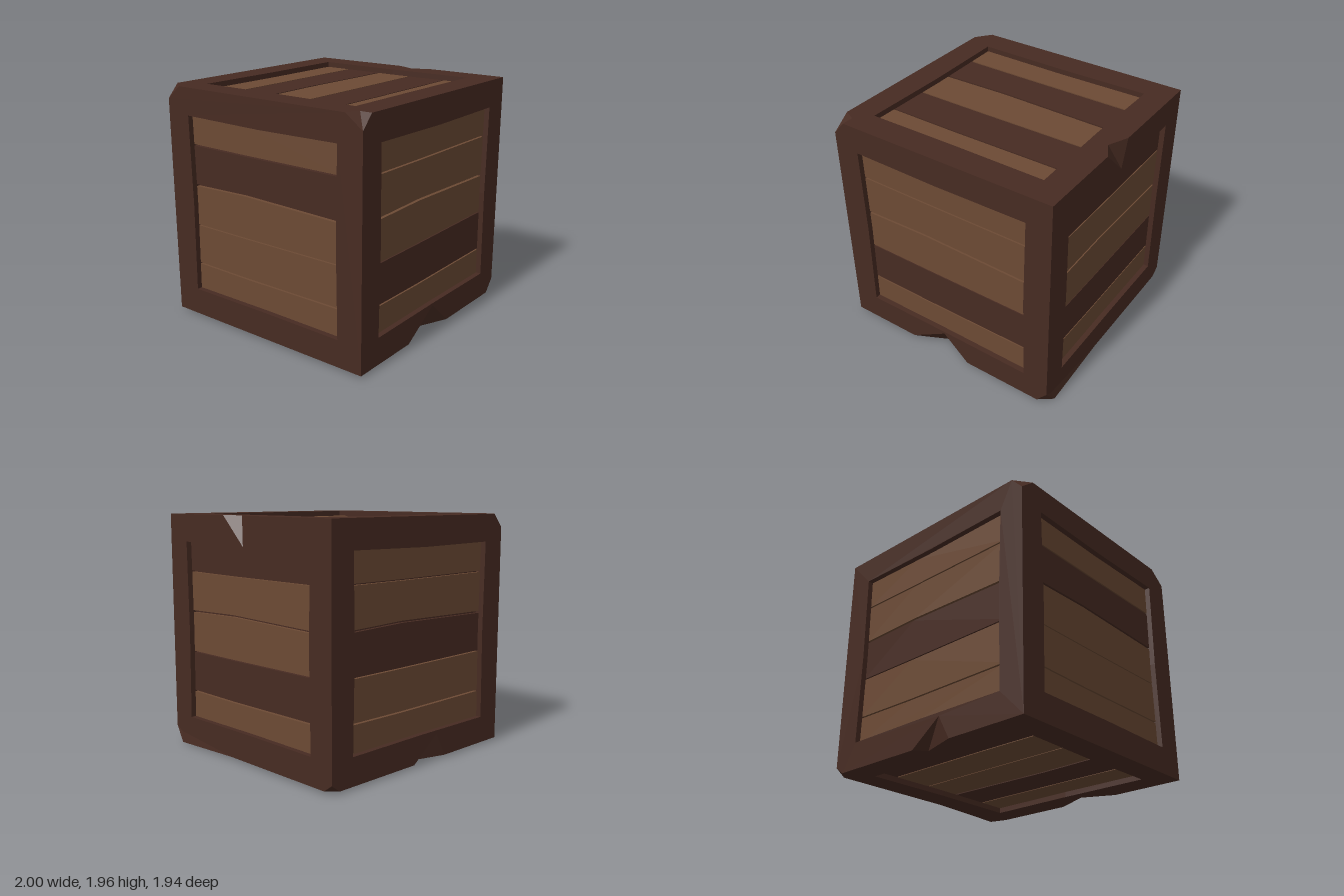
import * as THREE from 'three';

const HALF = new THREE.Vector3(0.99, 0.97, 0.97);
const DEPTH = 0.045, FLOOR = 0.075;

// Face axes (u right, v up) and plank tones from top to bottom: L light, D dark
const FACES = [
  { name: 'front', u: [1, 0, 0], v: [0, 1, 0], planks: 'LLLDL' },
  { name: 'right', u: [0, 0, -1], v: [0, 1, 0], planks: 'DLLDL' },
  { name: 'back', u: [-1, 0, 0], v: [0, 1, 0], planks: 'LLDLL' },
  { name: 'left', u: [0, 0, 1], v: [0, 1, 0], planks: 'LDLLL' },
  { name: 'top', u: [1, 0, 0], v: [0, 0, -1], planks: 'LDLDL' },
  { name: 'bottom', u: [1, 0, 0], v: [0, 0, 1], planks: 'LDLLD' },
];

// Chips: each is a fan of triangles around its first point (crate centre at the origin)
const X = HALF.x, Y = HALF.y, Z = HALF.z;
const CHIPS = [
  // notches in the edges
  { fan: [[-0.09, -Y, 0.84], [-0.36, -Y, Z], [-0.02, -0.76, Z], [0.21, -Y, Z]] },
  { fan: [[0.915, Y, 0.1], [X, Y, 0.24], [X, 0.735, 0], [X, Y, -0.07]] },
  { fan: [[0.01, -Y, -0.88], [0.09, -Y, -Z], [-0.18, -0.77, -Z], [-0.29, -Y, -Z]] },
  // broken corners
  { corner: [-1, 1, 1], fan: [[-X, 0.86, Z], [-X, Y, 0.82], [-0.89, Y, 0.87], [-0.89, Y, Z]] },
  { corner: [-1, 1, -1], fan: [[-X, 0.86, -Z], [-X, Y, -0.84], [-0.89, Y, -Z]] },
  { corner: [1, -1, -1], fan: [[X, -0.91, -Z], [X, -Y, -0.89], [0.91, -Y, -Z]] },
  // splintered corner standing slightly proud of the faces
  { corner: [1, -1, 1], fan: [[1.005, -0.99, 0.87], [0.9, -Y, Z], [X, -0.86, Z],
    [X, -0.9, 0.9], [X, -Y, 0.2], [0.9, -Y, Z]] },
];

// Gaps between planks: centre line at left, middle and right, then width
const GAPS = [
  [0.5, 0.497, 0.498, 0.012],
  [0.163, 0.178, 0.157, 0.017],
  [-0.18, -0.18, -0.174, 0.009],
  [-0.52, -0.525, -0.519, 0.012],
];

// Flat triangles, each turned to face away from the crate centre
function chipGeometry() {
  const pos = [];
  for (const { fan } of CHIPS) {
    const p = fan.map(a => new THREE.Vector3(...a));
    for (let i = 1; i < p.length - 1; i++) {
      const t = new THREE.Triangle(p[0], p[i], p[i + 1]);
      const out = t.getNormal(new THREE.Vector3()).dot(t.getMidpoint(new THREE.Vector3())) > 0;
      for (const q of out ? [t.a, t.b, t.c] : [t.a, t.c, t.b]) pos.push(q.x, q.y, q.z);
    }
  }
  const g = new THREE.BufferGeometry();
  g.setAttribute('position', new THREE.Float32BufferAttribute(pos, 3));
  g.computeVertexNormals();
  return g;
}

// Outline of a face: remaining corners and chip points in its plane, sorted by angle
function outline(u, v, n) {
  const pts = CHIPS.flatMap(c => c.fan);
  for (const x of [-1, 1]) for (const y of [-1, 1]) for (const z of [-1, 1]) {
    const cut = CHIPS.some(c => c.corner && c.corner.join() === [x, y, z].join());
    if (!cut) pts.push([x * X, y * Y, z * Z]);
  }
  const h = Math.abs(n.dot(HALF));
  const seen = new Set();
  return pts.map(a => new THREE.Vector3(...a))
    .filter(p => Math.abs(p.dot(n) - h) < 1e-4)
    .map(p => new THREE.Vector2(p.dot(u), p.dot(v)))
    .filter(p => {
      const key = p.x.toFixed(3) + ',' + p.y.toFixed(3);
      return !seen.has(key) && seen.add(key);
    })
    .sort((a, b) => Math.atan2(a.y, a.x) - Math.atan2(b.y, b.x));
}

// Side walls of the recess, facing into the opening
function wallGeometry(loop) {
  const pos = [];
  loop.forEach((a, i) => {
    const b = loop[(i + 1) % loop.length];
    pos.push(a.x, a.y, 0, b.x, b.y, -FLOOR, a.x, a.y, -FLOOR);
    pos.push(a.x, a.y, 0, b.x, b.y, 0, b.x, b.y, -FLOOR);
  });
  const g = new THREE.BufferGeometry();
  g.setAttribute('position', new THREE.Float32BufferAttribute(pos, 3));
  g.computeVertexNormals();
  return g;
}

export function createModel() {
  const darkWood = new THREE.MeshStandardMaterial({ color: 0x472b22 });
  darkWood.name = 'darkWood';
  const lightWood = new THREE.MeshStandardMaterial({ color: 0x6c4a34 });
  lightWood.name = 'lightWood';

  const crate = new THREE.Group();
  crate.name = 'crate';
  const add = (parent, name, geometry, material) => {
    const m = new THREE.Mesh(geometry, material);
    m.name = name;
    parent.add(m);
    return m;
  };

  for (const f of FACES) {
    const u = new THREE.Vector3(...f.u), v = new THREE.Vector3(...f.v);
    const n = new THREE.Vector3().crossVectors(u, v);
    const side = new THREE.Group();
    side.name = f.name + 'Side';
    side.quaternion.setFromRotationMatrix(new THREE.Matrix4().makeBasis(u, v, n));
    side.position.copy(n).multiplyScalar(Math.abs(n.dot(HALF)));
    crate.add(side);

    // frame with a slightly warped opening
    const w = Math.abs(u.x) > 0.5 ? 0.775 : 0.75, t = 0.745;
    const hole = [[-w, -t], [0, -t + 0.005], [w, -t], [w - 0.012, 0], [w, t],
      [0, t - 0.01], [-w, t], [-w + 0.012, 0]].map(p => new THREE.Vector2(...p));
    const shape = new THREE.Shape(outline(u, v, n));
    shape.holes.push(new THREE.Path(hole));
    add(side, 'frame', new THREE.ShapeGeometry(shape), darkWood);
    add(side, 'recessWalls', wallGeometry(hole), darkWood);
    add(side, 'backing', new THREE.PlaneGeometry(2 * w, 2 * t), darkWood).position.z = -FLOOR;

    // planks with uneven edges
    const edges = [[t, t, t, 0], ...GAPS, [-t, -t, -t, 0]];
    [...f.planks].forEach((tone, i) => {
      const a = edges[i], b = edges[i + 1], xs = [-w, -0.2, w];
      const top = xs.map((x, k) => new THREE.Vector2(x, a[k] - a[3] / 2));
      const low = xs.map((x, k) => new THREE.Vector2(x, b[k] + b[3] / 2));
      const g = new THREE.ExtrudeGeometry(new THREE.Shape([...low, ...top.reverse()]),
        { depth: FLOOR - DEPTH, bevelEnabled: false });
      add(side, 'plank' + (i + 1), g, tone === 'L' ? lightWood : darkWood).position.z = -FLOOR;
    });
  }

  add(crate, 'chippedWood', chipGeometry(), darkWood);
  crate.position.set(-0.01, 0.99, 0);

  const model = new THREE.Group();
  model.name = 'woodenCrate';
  model.add(crate);
  return model;
}
